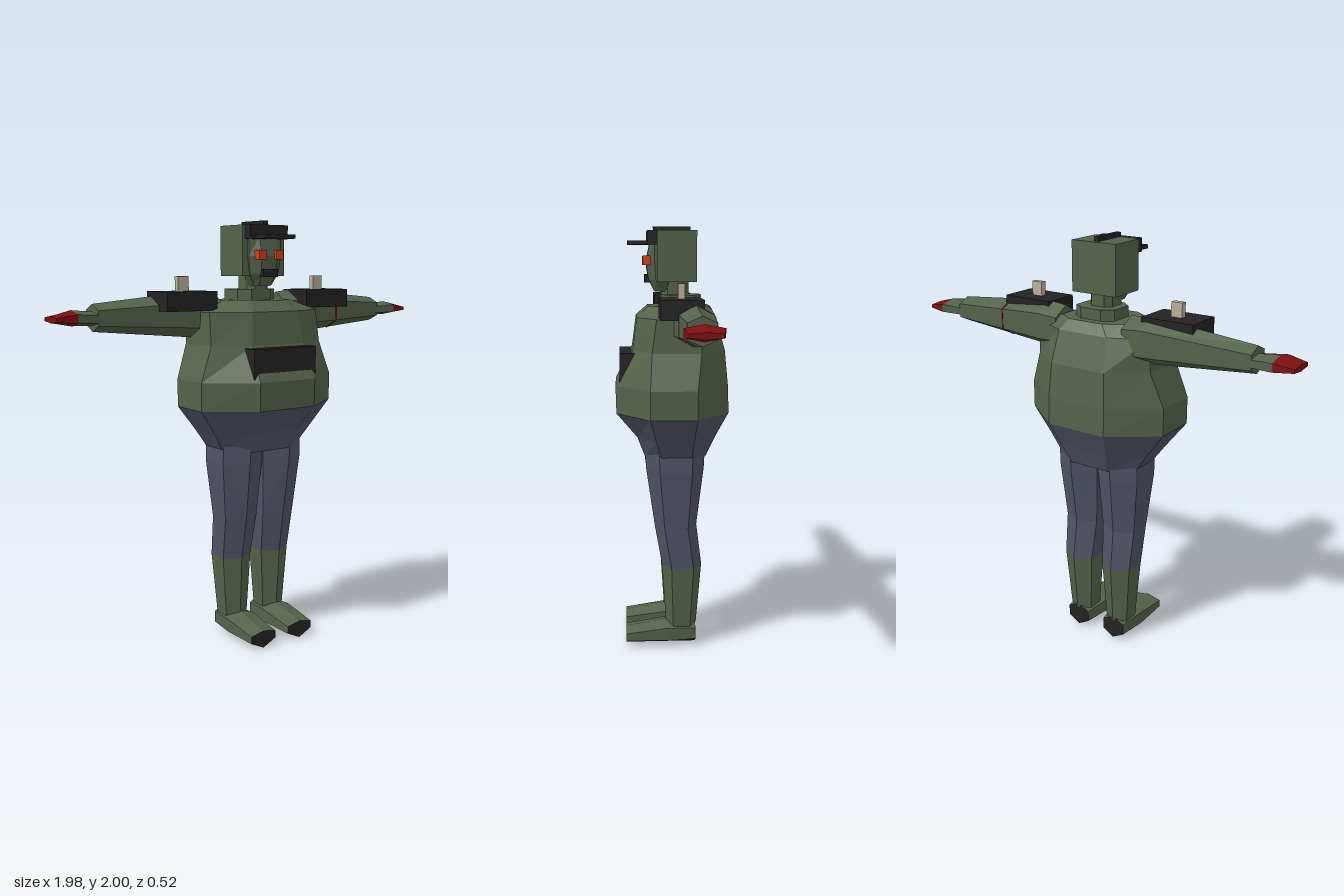
import * as THREE from 'three';

const mat = (name, color) => Object.assign(new THREE.MeshStandardMaterial({ color, flatShading: true }), { name });

// Closed skin over a list of rings of [x, y, z]; sideMat(i) and capMat pick material groups
function loft(rings, sideMat = () => 0, capMat = 0) {
  const n = rings[0].length, buckets = [[], []];
  const tri = (m, a, b, c) => buckets[m].push([a, b, c]);
  for (let r = 0; r < rings.length - 1; r++) {
    for (let i = 0; i < n; i++) {
      const j = (i + 1) % n, A = rings[r], B = rings[r + 1];
      tri(sideMat(i), A[i], A[j], B[j]);
      tri(sideMat(i), A[i], B[j], B[i]);
    }
  }
  const first = rings[0], last = rings[rings.length - 1];
  for (let i = 1; i < n - 1; i++) {
    tri(capMat, first[0], first[i + 1], first[i]);
    tri(capMat, last[0], last[i], last[i + 1]);
  }
  // Flip the winding if the skin is inside out
  let volume = 0;
  const V = p => new THREE.Vector3(...p);
  for (const [a, b, c] of buckets.flat()) volume += V(a).dot(V(b).cross(V(c)));
  const pos = [], geo = new THREE.BufferGeometry();
  buckets.forEach((list, m) => {
    if (list.length) geo.addGroup(pos.length / 3, list.length * 3, m);
    for (const [a, b, c] of list) pos.push(...a, ...(volume < 0 ? [...c, ...b] : [...b, ...c]));
  });
  geo.setAttribute('position', new THREE.Float32BufferAttribute(pos, 3));
  geo.computeVertexNormals();
  return geo;
}

const HEX = [[0, 1], [1, 0.55], [1, -0.55], [0, -1], [-1, -0.55], [-1, 0.55]];

// Eight-sided level: height, half width, half front flat, front z, back z, side z front and back
const oct = ([y, w, f, zf, zb, sf, sb]) => [
  [-f, y, zf], [f, y, zf], [w, y, sf], [w, y, sb], [f, y, zb], [-f, y, zb], [-w, y, sb], [-w, y, sf]];

export function createModel() {
  const model = new THREE.Group();
  model.name = 'figure';
  const green = mat('olive green', 0x55624a), blue = mat('slate blue', 0x505364);
  const dark = mat('near black', 0x232323), red = mat('dark red', 0x7d0e10);
  const orange = mat('eye orange', 0xd63e1c), cream = mat('cream', 0xb9b19b);

  const add = (name, geo, material, parent = model) => {
    const mesh = new THREE.Mesh(geo, material);
    mesh.name = name;
    parent.add(mesh);
    return mesh;
  };
  const box = (name, material, x0, x1, y0, y1, z0, z1, parent) =>
    add(name, new THREE.BoxGeometry(Math.abs(x1 - x0), y1 - y0, z1 - z0), material, parent)
      .position.set((x0 + x1) / 2, (y0 + y1) / 2, (z0 + z1) / 2);

  // Torso: round belly in green, hips in blue
  add('torso', loft([
    [1.15, 0.37, 0.155, 0.262, -0.26, 0.11, -0.1],
    [1.28, 0.37, 0.155, 0.265, -0.255, 0.11, -0.1],
    [1.44, 0.31, 0.145, 0.185, -0.24, 0.1, -0.12],
    [1.59, 0.305, 0.13, 0.165, -0.2, 0.08, -0.12],
    [1.64, 0.17, 0.09, 0.11, -0.175, 0.04, -0.12],
  ].map(oct)), green);
  add('hips', loft([
    [0.935, 0.215, 0.1, 0.13, -0.16, 0.05, -0.085],
    [1.03, 0.28, 0.125, 0.165, -0.2, 0.08, -0.09],
    [1.15, 0.37, 0.155, 0.262, -0.26, 0.11, -0.1],
  ].map(oct)), blue);
  box('chestPouch', dark, -0.175, 0.175, 1.29, 1.43, 0.1, 0.245);

  // Collar and neck
  add('collar', loft([1.6, 1.69].map(y => oct([y, 0.105, 0.055, 0.05, -0.135, 0.01, -0.1]))), green);
  add('neck', loft([1.66, 1.78].map(y => oct([y, 0.06, 0.035, 0.05, -0.08, 0.02, -0.05]))), green);

  // Head block with a protruding faceted face
  const head = new THREE.Group();
  head.name = 'head';
  model.add(head);
  box('headBlock', green, -0.118, 0.118, 1.75, 1.98, -0.112, 0.07, head);
  add('face', loft([
    [1.705, 0.05, 0.035, 0.08, 0, 0.06, 0.02],
    [1.76, 0.08, 0.04, 0.108, 0, 0.075, 0.02],
    [1.84, 0.09, 0.045, 0.12, 0, 0.08, 0.02],
    [1.93, 0.09, 0.045, 0.1, 0, 0.08, 0.02],
  ].map(oct)), green, head);
  box('mouth', dark, -0.042, 0.042, 1.745, 1.782, 0.08, 0.126, head);
  box('capBand', dark, -0.105, 0.105, 1.917, 1.98, 0.06, 0.115, head);
  box('capBrim', dark, -0.08, 0.08, 1.917, 1.935, 0.08, 0.205, head);
  box('capCrest', dark, -0.013, 0.013, 1.975, 2.0, -0.09, 0.085, head);

  for (const s of [1, -1]) {
    const side = s > 0 ? 'left' : 'right';
    const limb = name => {
      const g = new THREE.Group();
      g.name = side + name;
      model.add(g);
      return g;
    };
    box(side + 'Eye', orange, s * 0.027, s * 0.068, 1.825, 1.867, 0.09, 0.134, head);

    // Arm: hexagonal levels [x, centre y, half height, half depth]
    const arm = limb('Arm');
    const armHex = ([x, y, h, d]) => HEX.map(([a, b]) => [s * x, y + b * h, -0.08 + a * d]);
    const armPart = (name, rows, m) => add(name, loft(rows.map(armHex)), m, arm);
    armPart('sleeve', [[0.18, 1.572, 0.1, 0.08], [0.28, 1.576, 0.108, 0.085], [0.8, 1.575, 0.06, 0.06]], green);
    armPart('wrist', [[0.79, 1.571, 0.03, 0.06], [0.9, 1.577, 0.034, 0.08]], green);
    armPart('hand', [[0.9, 1.577, 0.034, 0.08], [0.99, 1.573, 0.014, 0.065]], red);
    if (s > 0) armPart('armBand', [[0.505, 1.575, 0.089, 0.076], [0.512, 1.575, 0.089, 0.076]], red);
    box('shoulderPack', dark, s * 0.255, s * 0.513, 1.598, 1.684, -0.114, 0.07, arm);
    box('shoulderKnob', cream, s * 0.358, s * 0.413, 1.68, 1.75, -0.037, -0.008, arm);

    // Leg: hexagonal levels [y, centre x, half width, centre z, half depth]
    const leg = limb('Leg');
    const legHex = ([y, x, w, z, d]) => HEX.map(([a, b]) => [s * (x + a * w), y, z + b * d]);
    const shin = [0.4, 0.113, 0.08, -0.045, 0.095];
    add('trouser', loft([shin, [0.6, 0.11, 0.09, -0.015, 0.1], [0.88, 0.115, 0.112, -0.012, 0.137],
      [0.97, 0.113, 0.112, -0.012, 0.142]].map(legHex)), blue, leg);
    add('boot', loft([[0.1, 0.11, 0.06, -0.042, 0.073], shin].map(legHex)), green, leg);

    // Foot: green upper, dark sole, toe and heel faces
    const footHex = ([z, top, shoulder, w]) => [[0, top], [w, shoulder], [w, 0.035], [0, 0], [-w, 0.035], [-w, shoulder]]
      .map(([x, y]) => [s * (0.108 + x), y, z]);
    add('foot', loft([[-0.11, 0.12, 0.09, 0.06], [0.03, 0.12, 0.098, 0.077], [0.225, 0.085, 0.07, 0.07]].map(footHex),
      i => (i === 2 || i === 3 ? 1 : 0), 1), [green, dark], leg);
  }
  return model;
}
